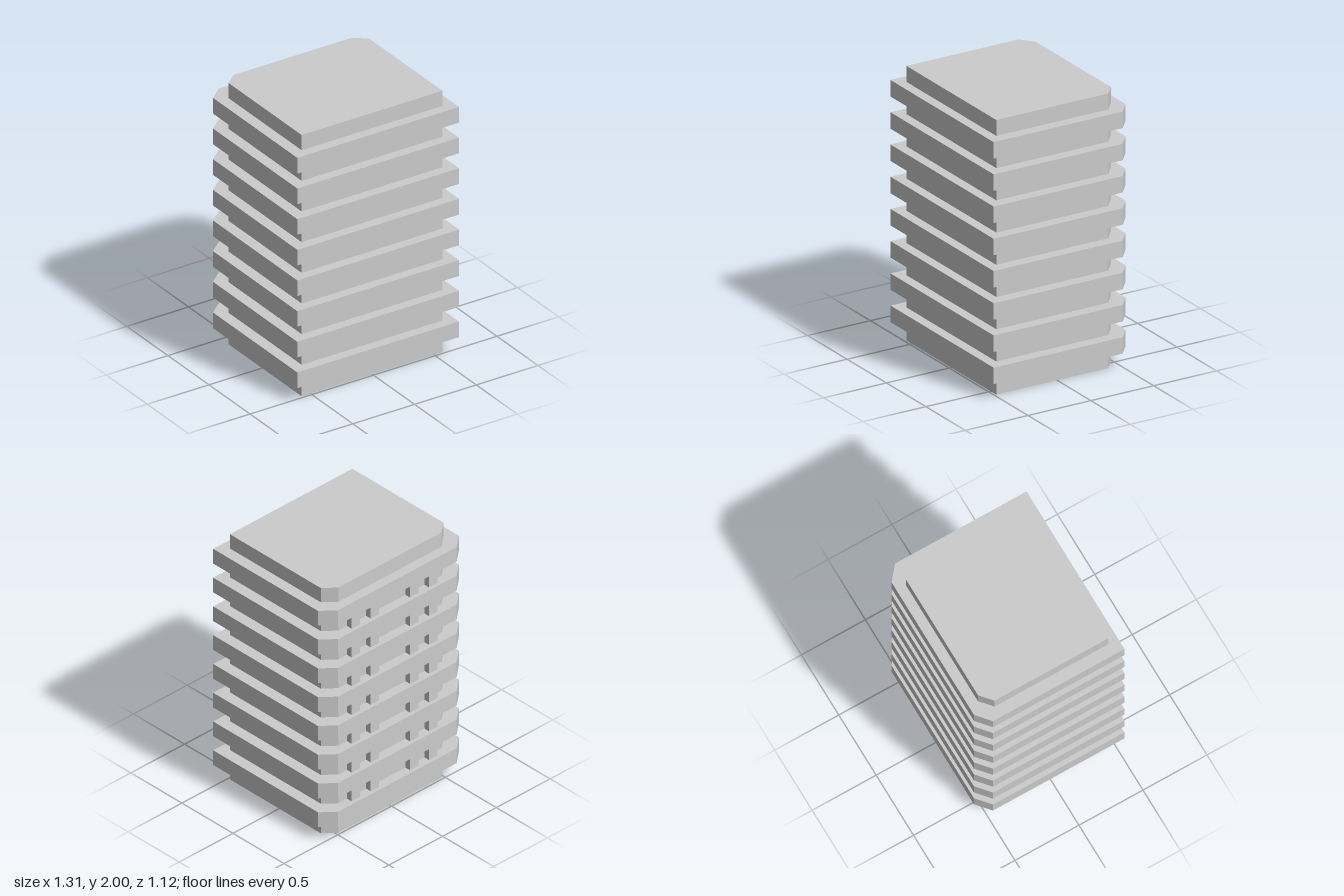
import * as THREE from 'three';

const material = new THREE.MeshStandardMaterial({ color: 0xcccccc, flatShading: true });

// Upright block whose two back corners are cut off; square at the front.
function chamferedBlock(name, halfX, front, back, cutX, cutZ, y, height) {
  const shape = new THREE.Shape([
    [-halfX, -front], [halfX, -front],
    [halfX, back - cutZ], [halfX - cutX, back],
    [cutX - halfX, back], [-halfX, back - cutZ],
  ].map(([x, z]) => new THREE.Vector2(x, z)));
  const geometry = new THREE.ExtrudeGeometry(shape, { depth: height, bevelEnabled: false });
  geometry.rotateX(-Math.PI / 2);
  const mesh = new THREE.Mesh(geometry, material);
  mesh.name = name;
  mesh.position.y = y;
  return mesh;
}

export function createModel() {
  const model = new THREE.Group();
  model.name = 'tower';

  // Central body
  model.add(chamferedBlock('core', 0.57, 0.483, 0.485, 0.09, 0.077, 0, 2));

  // Evenly spaced projecting floor slabs
  const slabs = 8, firstY = 0.121, step = 0.2347, thickness = 0.12;
  for (let i = 0; i < slabs; i++) {
    model.add(chamferedBlock('floorSlab', 0.655, 0.557, 0.558, 0.104, 0.088, firstY + i * step, thickness));
  }

  // Pilasters on the back wall, running from the lowest slab to the highest
  const bottom = firstY + thickness / 2;
  const height = (slabs - 1) * step;
  for (const x of [-0.36, -0.183, 0.183, 0.36]) {
    const post = new THREE.Mesh(new THREE.BoxGeometry(0.08, height, 0.08), material);
    post.name = 'backPilaster';
    post.position.set(x, bottom + height / 2, -0.49);
    model.add(post);
  }
  return model;
}
